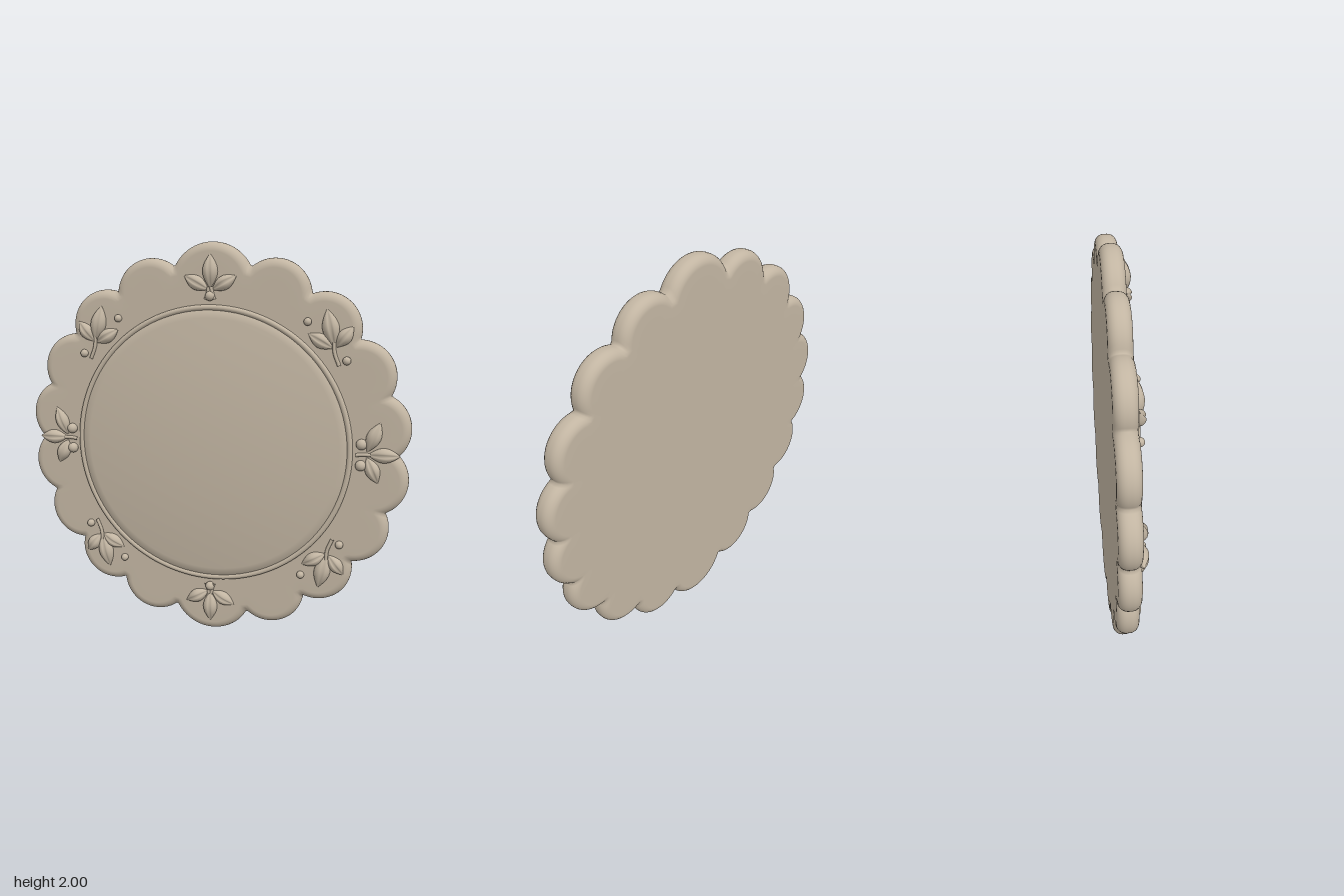
import * as THREE from 'three';

const FACE_Z = 0.024, BACK_Z = -0.08;
const clay = new THREE.MeshStandardMaterial({ color: 0xc2b5a2 });
clay.name = 'beige clay';

// Scallops: [angle from the top in degrees, centre radius, lobe radius]
const lobes = [[0, 0.79, 0.21], [180, 0.79, 0.21]];
for (const a of [22.3, 42.6, 62.5, 81, 99, 117.5, 137.4, 157.7])
  for (const s of [1, -1]) lobes.push([s * a, 0.806, 0.178]);

// Radius of the scalloped outline, moved inwards by inset
function outline(theta, inset) {
  let best = 0.9 - inset;
  for (const [deg, c, r] of lobes) {
    const d = theta - Math.PI / 2 + THREE.MathUtils.degToRad(deg);
    const q = (r - inset) ** 2 - (c * Math.sin(d)) ** 2;
    if (q >= 0 && Math.cos(d) > 0) best = Math.max(best, c * Math.cos(d) + Math.sqrt(q));
  }
  return best;
}

function add(parent, name, geometry) {
  const mesh = new THREE.Mesh(geometry, clay);
  mesh.name = name;
  parent.add(mesh);
  return mesh;
}

// Plate: one loop per profile step, from the back centre over the rounded rim to the front centre
function plateGeometry() {
  const N = 432, R = 0.044, profile = [[1, BACK_Z], [0.1, BACK_Z]];
  for (let k = 0; k <= 6; k++) {
    const a = (k / 6) * Math.PI / 2;
    profile.push([R * (1 - Math.sin(a)), BACK_Z + R * (1 - Math.cos(a))]);
  }
  for (let k = 6; k >= 0; k--) {
    const a = (k / 6) * Math.PI / 2;
    profile.push([R * (1 - Math.sin(a)), FACE_Z - R * (1 - Math.cos(a))]);
  }
  profile.push([0.1, FACE_Z], [1, FACE_Z]);
  const pos = [], index = [];
  profile.forEach(([inset, z], i) => {
    for (let j = 0; j < N; j++) {
      const t = (j / N) * Math.PI * 2, r = inset === 1 ? 0 : outline(t, inset);
      pos.push(r * Math.cos(t), r * Math.sin(t), z);
      if (i < profile.length - 1) {
        const a = i * N + j, b = i * N + (j + 1) % N;
        index.push(a, b, a + N, b, b + N, a + N);
      }
    }
  });
  const g = new THREE.BufferGeometry();
  g.setAttribute('position', new THREE.Float32BufferAttribute(pos, 3));
  g.setIndex(index);
  g.computeVertexNormals();
  return g;
}

// Pointed leaf with a grooved midrib, lying on the face from one point to another
function leaf(parent, x0, y0, x1, y1, width) {
  const g = new THREE.SphereGeometry(1, 28, 16), p = g.attributes.position;
  const len = Math.hypot(x1 - x0, y1 - y0);
  for (let i = 0; i < p.count; i++) {
    const x = p.getX(i), y = p.getY(i), z = p.getZ(i);
    const along = 1 - Math.acos(THREE.MathUtils.clamp(y, -1, 1)) / Math.PI;
    const groove = 0.68 + 0.32 * Math.min(1, Math.abs(x) * 4);
    p.setXYZ(i, x * width / 2, along * len, z * 0.031 * groove);
  }
  g.computeVertexNormals();
  const m = add(parent, 'leaf', g);
  m.position.set(x0, y0, FACE_Z + 0.003);
  m.rotation.z = -Math.atan2(x1 - x0, y1 - y0);
}

function berry(parent, x, y, r) {
  add(parent, 'berry', new THREE.SphereGeometry(r, 20, 14)).position.set(x, y, FACE_Z + 0.008);
}

function stem(parent, points) {
  const curve = new THREE.CatmullRomCurve3(points.map(([x, y]) => new THREE.Vector3(x, y, FACE_Z + 0.006)));
  add(parent, 'stem', new THREE.TubeGeometry(curve, 12, 0.009, 8));
}

// Sprig pointing straight out, at the top or bottom
function uprightSprig(parent, s) {
  const g = new THREE.Group();
  g.name = s > 0 ? 'topSprig' : 'bottomSprig';
  leaf(g, 0, s * 0.78, 0, s * 0.945, 0.075);
  for (const m of [1, -1]) {
    leaf(g, m * 0.008, s * 0.775, m * 0.13, s * 0.842, 0.068);
    stem(g, [[m * 0.006, s * 0.79], [m * 0.012, s * 0.755], [m * 0.022, s * 0.73]]);
  }
  berry(g, 0, s * 0.746, 0.023);
  parent.add(g);
}

// Sprig with two berries, at the left or right
function sideSprig(parent, s) {
  const g = new THREE.Group();
  g.name = s > 0 ? 'leftSprig' : 'rightSprig';
  leaf(g, s * 0.775, 0.01, s * 0.93, 0.01, 0.072);
  stem(g, [[s * 0.72, 0.006], [s * 0.75, 0.01], [s * 0.79, 0.01]]);
  for (const m of [1, -1]) {
    leaf(g, s * 0.772, 0.01 + m * 0.012, s * 0.83, 0.02 + m * 0.15, 0.07);
    berry(g, s * 0.745, 0.008 + m * 0.052, 0.026);
  }
  parent.add(g);
}

// Leaning sprig on a diagonal, mirrored into each quarter
function diagonalSprig(parent, sx, sy) {
  const g = new THREE.Group();
  g.name = 'diagonalSprig';
  for (const [x0, y0, x1, y1, w] of [
    [0.6, 0.515, 0.56, 0.695, 0.08],
    [0.607, 0.515, 0.685, 0.615, 0.068],
    [0.595, 0.51, 0.475, 0.578, 0.068],
  ]) leaf(g, sx * x0, sy * y0, sx * x1, sy * y1, w);
  stem(g, [[0.597, 0.54], [0.602, 0.49], [0.625, 0.43]].map(([x, y]) => [sx * x, sy * y]));
  berry(g, sx * 0.66, sy * 0.455, 0.02);
  berry(g, sx * 0.472, sy * 0.633, 0.019);
  parent.add(g);
}

export function createModel() {
  const model = new THREE.Group();
  model.name = 'scallopedPlaque';
  const body = new THREE.Group();
  body.name = 'plaque';
  body.position.y = 1;
  model.add(body);

  add(body, 'scallopedPlate', plateGeometry());

  // Gently domed centre panel
  const dome = [];
  for (let k = 0; k <= 16; k++) {
    const t = 1 - k / 16;
    dome.push(new THREE.Vector2(0.685 * t, 0.08 - 0.045 * t * t));
  }
  dome.unshift(new THREE.Vector2(0.685, 0.01));
  add(body, 'domedPanel', new THREE.LatheGeometry(dome, 96)).rotation.x = Math.PI / 2;

  // Beaded ring around the panel
  add(body, 'ring', new THREE.TorusGeometry(0.692, 0.014, 12, 128)).position.z = 0.029;

  for (const s of [1, -1]) {
    uprightSprig(body, s);
    sideSprig(body, s);
    for (const t of [1, -1]) diagonalSprig(body, s, t);
  }
  return model;
}
